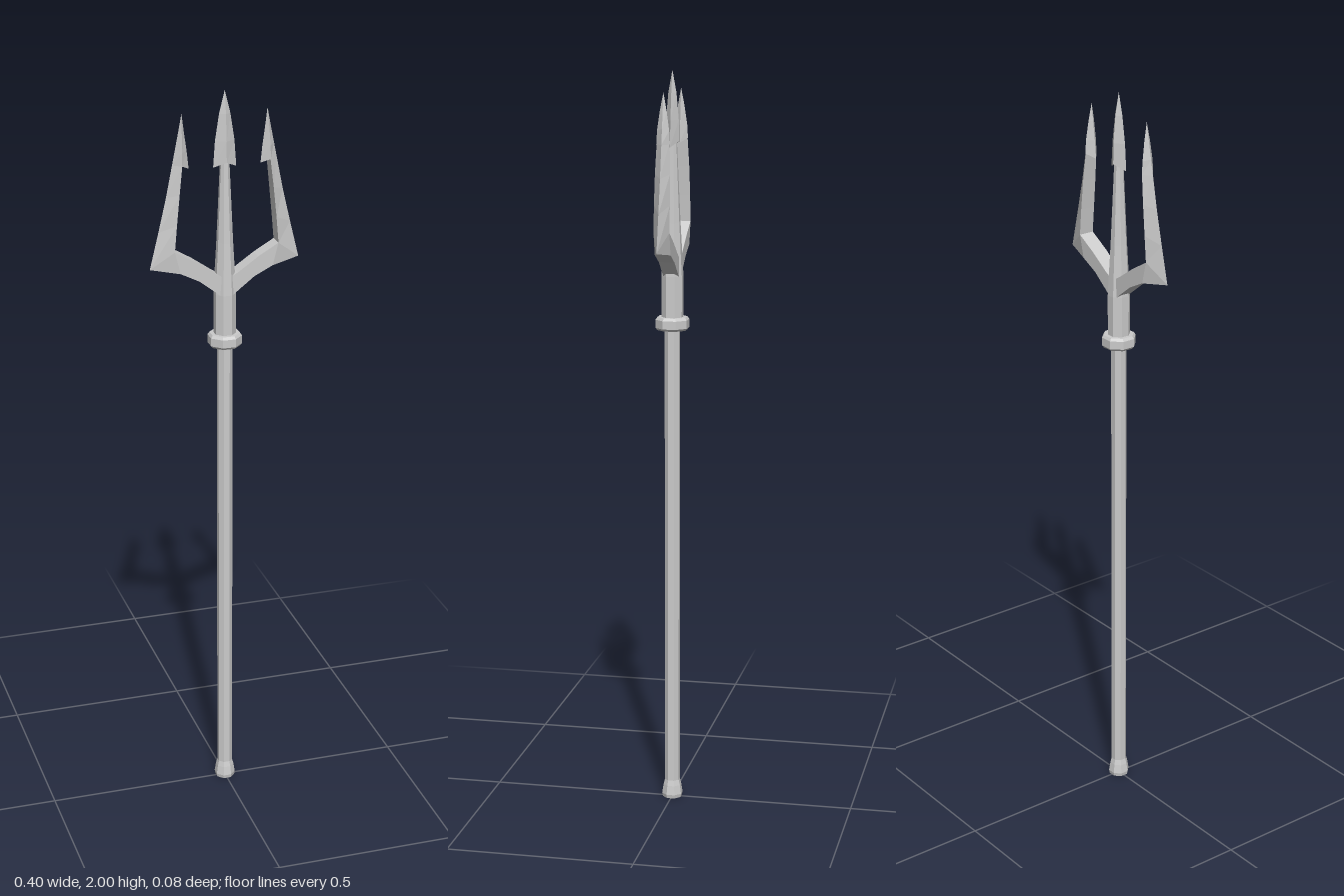
import * as THREE from 'three';

const material = new THREE.MeshStandardMaterial({ color: 0xcccccc, flatShading: true });

function part(name, geometry) {
  const mesh = new THREE.Mesh(geometry, material);
  mesh.name = name;
  return mesh;
}

// Faceted skin over a list of rings (counter-clockwise seen from the far end), capped at both ends.
function loft(rings) {
  const n = rings[0].length, pos = [];
  const tri = (a, b, c) => pos.push(...a, ...b, ...c);
  for (let r = 0; r + 1 < rings.length; r++) {
    const a = rings[r], b = rings[r + 1];
    for (let i = 0; i < n; i++) {
      const j = (i + 1) % n;
      tri(a[i], a[j], b[j]);
      tri(a[i], b[j], b[i]);
    }
  }
  const first = rings[0], last = rings[rings.length - 1];
  for (let i = 1; i + 1 < n; i++) {
    tri(first[0], first[i + 1], first[i]);
    tri(last[0], last[i], last[i + 1]);
  }
  const g = new THREE.BufferGeometry();
  g.setAttribute('position', new THREE.Float32BufferAttribute(pos, 3));
  g.computeVertexNormals();
  return g;
}

// Octagonal turned part with flats facing front and sides; points are [radius, y].
function turned(points) {
  const g = new THREE.LatheGeometry(points.map(([r, y]) => new THREE.Vector2(r, y)), 8, Math.PI / 8);
  return g;
}

// Four-cornered section from an inner edge and an outer edge with their half depths.
const section = ([xi, yi, di, xo, yo, dq]) =>
  [[xi, yi, -di], [xi, yi, di], [xo, yo, dq], [xo, yo, -dq]];

// Diamond section: ridge (x, y, half depth), outer corner and inner corner.
const diamond = ([x, y, d, xo, yo, xi, yi]) =>
  [[x, y, d], [xo, yo, 0], [x, y, -d], [xi, yi, 0]];

function sideProng() {
  const prong = new THREE.Group();
  const d = 0.021;
  // Flat arm that turns into a wedge with a sharp outer edge
  prong.add(part('prongArm', loft([
    [0.0, 1.503, d, 0.0, 1.445, d],
    [0.03, 1.52, d, 0.03, 1.47, d],
    [0.085, 1.558, d, 0.075, 1.505, d],
    [0.14, 1.59, d, 0.125, 1.53, d],
    [0.14, 1.59, d, 0.202, 1.542, 0],
    [0.134, 1.66, d, 0.178, 1.64, 0],
    [0.126, 1.74, 0.02, 0.157, 1.73, 0],
    [0.117, 1.82, 0.017, 0.139, 1.82, 0],
  ].map(section))));
  // Barbed point
  prong.add(part('prongPoint', loft([
    [0.118, 1.815, 0.018, 0.14, 1.815, 0.096, 1.803],
    [0.118, 1.85, 0.016, 0.132, 1.855, 0.101, 1.85],
    [0.116, 1.9, 0.009, 0.123, 1.9, 0.108, 1.9],
    [0.114, 1.948, 0, 0.114, 1.948, 0.114, 1.948],
  ].map(diamond))));
  return prong;
}

export function createModel() {
  const model = new THREE.Group();
  model.name = 'trident';

  // Shaft and flared foot
  model.add(part('shaft', turned([[0.021, 0.03], [0.021, 1.34]])));
  model.add(part('foot', turned([[0, 0], [0.027, 0], [0.029, 0.01], [0.025, 0.035], [0.021, 0.05]])));

  // Bevelled collar
  model.add(part('collar', turned([
    [0, 1.315], [0.041, 1.315], [0.046, 1.321], [0.046, 1.343], [0.041, 1.35], [0, 1.35],
  ])));

  // Socket tapering into the middle prong
  model.add(part('socket', turned([
    [0.03, 1.345], [0.03, 1.46], [0.022, 1.6], [0.012, 1.82], [0, 1.82],
  ])));

  // Barbed middle point
  model.add(part('middlePoint', loft([
    [0, 1.815, 0.018, 0.031, 1.8],
    [0, 1.87, 0.017, 0.026, 1.87],
    [0, 1.94, 0.011, 0.015, 1.94],
    [0, 2, 0, 0, 2],
  ].map(([x, y, d, w, yw]) => diamond([x, y, d, w, yw, -w, yw])))));

  // Side prongs, one turned half way round
  ['leftProng', 'rightProng'].forEach((name, i) => {
    const prong = sideProng();
    prong.name = name;
    prong.rotation.y = i * Math.PI;
    model.add(prong);
  });

  return model;
}
